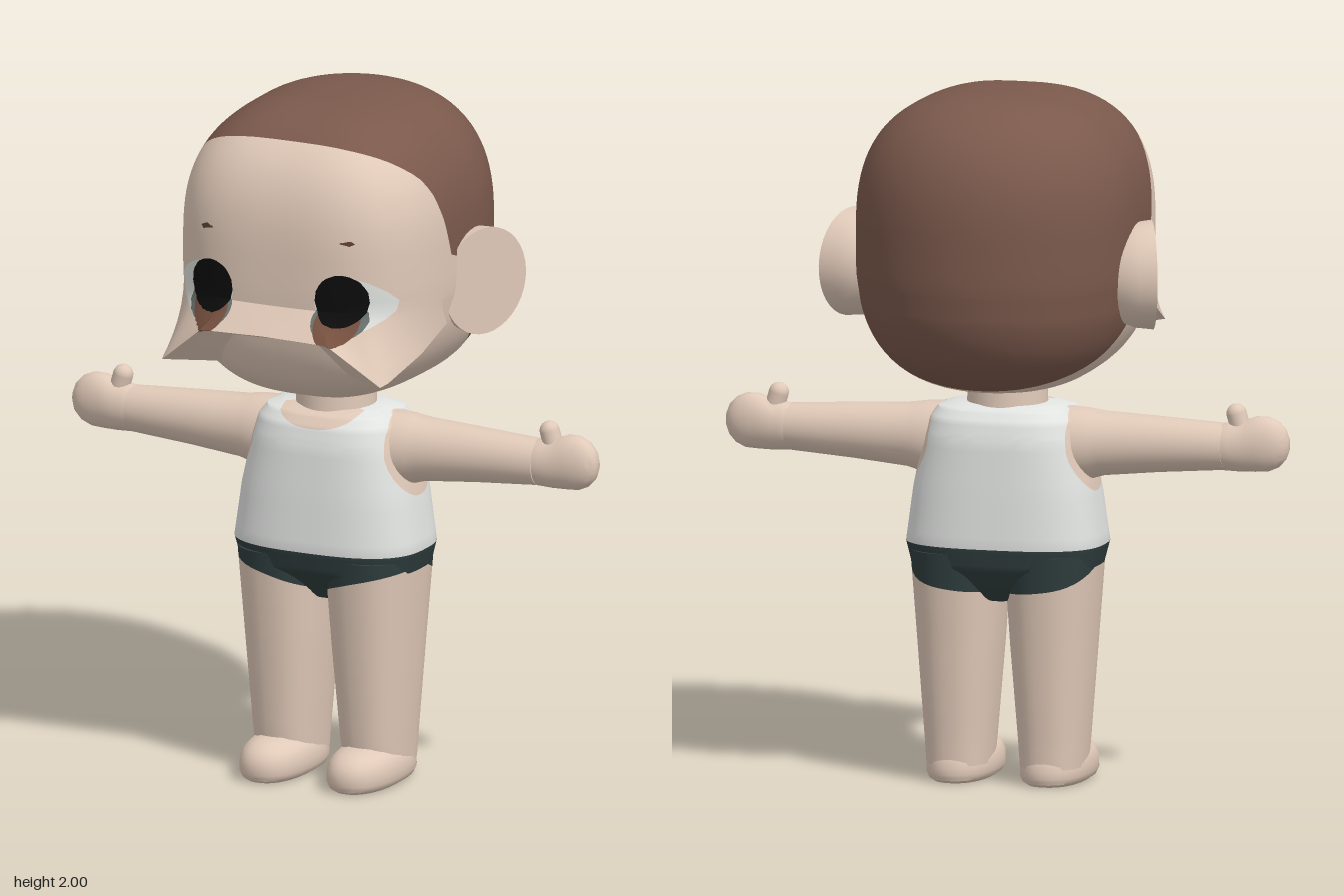
import * as THREE from 'three';
import { toCreasedNormals } from 'three/addons/utils/BufferGeometryUtils.js';

const mat = (name, color) => new THREE.MeshStandardMaterial({ name, color });
const lerp = THREE.MathUtils.lerp;

// Closed loft through rows of points, with fan caps at both ends
function loft(rows, crease = 0.6) {
  const n = rows[0].length, pos = rows.flat(2), idx = [];
  for (let i = 0; i < rows.length - 1; i++) {
    for (let j = 0; j < n; j++) {
      const a = i * n + j, b = i * n + (j + 1) % n;
      idx.push(a, b, b + n, a, b + n, a + n);
    }
  }
  for (const [r, up] of [[0, false], [rows.length - 1, true]]) {
    const c = pos.length / 3;
    for (let k = 0; k < 3; k++) pos.push(rows[r].reduce((s, p) => s + p[k], 0) / n);
    for (let j = 0; j < n; j++) {
      const a = r * n + j, b = r * n + (j + 1) % n;
      idx.push(c, up ? a : b, up ? b : a);
    }
  }
  const g = new THREE.BufferGeometry();
  g.setAttribute('position', new THREE.Float32BufferAttribute(pos, 3));
  g.setIndex(idx);
  return toCreasedNormals(g, crease);
}

// Rounded horizontal ring: half-width w, from zb to zf, squareness p
function ring(y, cx, w, zf, zb, p, n = 40) {
  return Array.from({ length: n }, (_, j) => {
    const a = j / n * Math.PI * 2, s = Math.sin(a), c = Math.cos(a);
    const r = (Math.abs(s) ** p + Math.abs(c) ** p) ** (-1 / p);
    return [cx + w * r * s, y, (zf + zb) / 2 + (zf - zb) / 2 * r * c];
  });
}

// Rings from a table [y, cx, w, zf, zb], subdivided
function rings(table, p, sub = 4, n = 40) {
  const out = [];
  table.forEach((t, i) => {
    if (!i) return out.push(ring(...t, p, n));
    for (let k = 1; k <= sub; k++) out.push(ring(...t.map((v, m) => lerp(table[i - 1][m], v, k / sub)), p, n));
  });
  return out;
}

// Cuts a surface along f(x, y, z) = 0 for each region, giving one mesh per colour
function paint(group, geometry, regions, restName, restMaterial) {
  const P = geometry.attributes.position, N = geometry.attributes.normal;
  let tris = [];
  for (let i = 0; i < P.count; i += 3) {
    tris.push([0, 1, 2].map(k => [P.getX(i + k), P.getY(i + k), P.getZ(i + k), N.getX(i + k), N.getY(i + k), N.getZ(i + k)]));
  }
  const clip = (tri, d, sign, out) => {
    const poly = [];
    for (let k = 0; k < 3; k++) {
      const m = (k + 1) % 3, da = d[k] * sign, db = d[m] * sign;
      if (da >= 0) poly.push(tri[k]);
      if (da * db < 0) poly.push(tri[k].map((v, q) => lerp(v, tri[m][q], da / (da - db))));
    }
    for (let k = 1; k < poly.length - 1; k++) out.push([poly[0], poly[k], poly[k + 1]]);
  };
  const emit = (list, name, material) => {
    if (!list.length) return;
    const v = list.flat(), g = new THREE.BufferGeometry();
    g.setAttribute('position', new THREE.Float32BufferAttribute(v.flatMap(p => p.slice(0, 3)), 3));
    g.setAttribute('normal', new THREE.Float32BufferAttribute(v.flatMap(p => p.slice(3)), 3));
    add(group, name, g, material);
  };
  for (const [name, material, f] of regions) {
    const inside = [], rest = [];
    for (const t of tris) {
      const d = t.map(p => f(p[0], p[1], p[2]) || 1e-9);
      if (d.every(v => v > 0)) inside.push(t);
      else if (d.every(v => v < 0)) rest.push(t);
      else { clip(t, d, 1, inside); clip(t, d, -1, rest); }
    }
    emit(inside, name, material);
    tris = rest;
  }
  emit(tris, restName, restMaterial);
}

function add(group, name, geometry, material) {
  const m = new THREE.Mesh(geometry, material);
  m.name = name;
  group.add(m);
  return m;
}

// Piecewise linear lookup in a table of [key, values...]
function lookup(table, key) {
  let i = 1;
  while (i < table.length - 1 && key > table[i][0]) i++;
  const a = table[i - 1], b = table[i], t = THREE.MathUtils.clamp((key - a[0]) / (b[0] - a[0]), 0, 1);
  return a.slice(1).map((v, k) => lerp(v, b[k + 1], t));
}

// Big rounded head with a jutting ridge below the eyes
function headGeometry() {
  const zc = -0.085, n = 128, rows = [];
  const base = (a, y) => {
    const t = y > 1.6 ? (y - 1.6) / 0.4 : Math.max(0, (1.55 - y) / 0.41);
    const k = (1 - t ** 2.6) ** (1 / 2.6), s = Math.sin(a), c = Math.cos(a), p = c > 0 ? 3.2 : 2;
    const r = (Math.abs(s) ** p + Math.abs(c) ** p) ** (-1 / p);
    const depth = c > 0 ? 0.505 * k ** (y > 1.6 ? 0.75 : 0.6) : 0.405 * k;
    return [0.405 * k * r * s, y, zc + depth * r * c];
  };
  const ridgeTable = [[0, 1.395, 0.482], [0.2, 1.39, 0.48], [0.35, 1.27, 0.43], [0.382, 1.33, 0.24], [0.395, 1.39, 0.1]]
    .map(p => [Math.atan2(p[0], p[2] - zc), ...p]);
  const ridge = a => {
    const b = Math.abs(a);
    if (b > ridgeTable[4][0]) return base(a, 1.39);
    const [x, y, z] = lookup(ridgeTable, b);
    return [Math.sign(a) * x, y, z];
  };
  const row = f => rows.push(Array.from({ length: n }, (_, j) => f((j > n / 2 ? j - n : j) / n * Math.PI * 2)));
  for (let i = 0; i < 16; i++) row(a => base(a, lerp(1.141, ridge(a)[1], 1 - Math.cos(i / 16 * Math.PI / 2))));
  for (let i = 0; i < 8; i++) row(a => { const q = base(a, 1.47); return ridge(a).map((v, k) => lerp(v, q[k], i / 8)); });
  for (let i = 0; i <= 28; i++) row(a => base(a, 1.47 + 0.5295 * Math.sin(i / 28 * Math.PI / 2)));
  return loft(rows, 0.5);
}

export function createModel() {
  const model = new THREE.Group();
  model.name = 'childFigure';
  const skin = mat('skin', 0xe0c9b8), hair = mat('hair brown', 0x7b594c), shirt = mat('shirt white', 0xe2e4e2);
  const briefs = mat('briefs dark', 0x2f3d3d), black = mat('pupil black', 0x0c0c0c), iris = mat('iris brown', 0x76503f);
  const white = mat('eye white', 0xdfe2df), shade = mat('eye grey', 0x69736f), brow = mat('brow brown', 0x5e3f36);

  // Head with painted hair, eyes and brows
  const head = new THREE.Group();
  head.name = 'head';
  model.add(head);
  const hairline = [[1.14, -0.3], [1.18, -0.26], [1.26, -0.16], [1.34, -0.08], [1.555, -0.02], [1.57, 0.08], [1.7, 0.12],
    [1.78, 0.15], [1.83, 0.18], [1.89, 0.25], [1.93, 0.31], [2, 0.33]];
  const oval = (cx, cy, rx, ry) => (x, y, z) =>
    Math.min(1 - ((Math.abs(x) - cx) / rx) ** 2 - ((y - cy) / ry) ** 2, (z - 0.15) * 10);
  paint(head, headGeometry(), [
    ['hair', hair, (x, y, z) => lookup(hairline, y)[0] - z],
    ['pupils', black, oval(0.205, 1.505, 0.076, 0.076)],
    ['irises', iris, oval(0.2, 1.442, 0.062, 0.062)],
    ['eyeShades', shade, oval(0.205, 1.45, 0.078, 0.055)],
    ['eyeWhites', white, (x, y, z) => Math.min(1 - Math.abs((Math.abs(x) - 0.235) / 0.11) ** 1.5 - Math.abs((y - 1.49) / 0.08) ** 1.5, (z - 0.15) * 10)],
    ['brows', brow, (x, y, z) => Math.min(0.008 - Math.abs(y - 1.678 + (Math.abs(x) - 0.21) * 0.25), 0.037 - Math.abs(Math.abs(x) - 0.21), z - 0.15)],
  ], 'face', skin);

  // Torso: vest, briefs and bare armholes
  const torso = new THREE.Group();
  torso.name = 'torso';
  model.add(torso);
  paint(torso, loft(rings([[0.53, 0, 0.04, 0.1, -0.1], [0.58, 0, 0.18, 0.15, -0.14], [0.63, 0, 0.272, 0.203, -0.173],
    [0.69, 0, 0.287, 0.217, -0.183], [0.85, 0, 0.265, 0.205, -0.175], [1.0, 0, 0.232, 0.19, -0.165],
    [1.05, 0, 0.217, 0.175, -0.15], [1.08, 0, 0.195, 0.15, -0.125], [1.093, 0, 0.15, 0.11, -0.09]], 2.8, 5, 64)), [
    ['briefs', briefs, (x, y) => 0.69 - y],
    ['neckline', skin, (x, y, z) => Math.min(1 - (x / 0.125) ** 2 - ((y - 1.1) / 0.055) ** 2, z * 10)],
    ['armholes', skin, (x, y, z) => Math.min(Math.abs(x) - 0.15, 0.12 - Math.hypot(y - 0.965, z - 0.01))],
  ], 'vest', shirt);
  add(model, 'neck', new THREE.CylinderGeometry(0.112, 0.118, 0.14, 32), skin).position.set(0, 1.11, 0.012);

  for (const s of [1, -1]) {
    const side = s > 0 ? 'left' : 'right';

    // Ear: tilted disc with a rounded back
    const ear = new THREE.LatheGeometry([[0.1, -0.14], [0.132, -0.1], [0.15, -0.05], [0.156, 0], [0, 0]]
      .map(p => new THREE.Vector2(...p)), 36);
    const earMesh = add(head, side + 'Ear', toCreasedNormals(ear, 0.6), skin);
    earMesh.quaternion.setFromUnitVectors(new THREE.Vector3(0, 1, 0), new THREE.Vector3(0.93 * s, 0, 0.37).normalize());
    earMesh.position.set(0.443 * s, 1.483, -0.046);

    // Arm and hand, lofted along y then laid sideways: [reach, height, half height, zf, zb]
    const limb = (name, table) => {
      const g = loft(rings(table.map(([x, y, h, zf, zb]) => [x, -s * y, h, zf, zb]), 2, 2, 32));
      add(model, side + name, g.rotateZ(-s * Math.PI / 2), skin);
    };
    limb('Arm', [[0.15, 0.975, 0.11, 0.115, -0.095], [0.23, 0.977, 0.105, 0.11, -0.09], [0.29, 0.982, 0.092, 0.1, -0.08],
      [0.45, 0.986, 0.08, 0.088, -0.067], [0.645, 0.988, 0.067, 0.075, -0.053]]);
    limb('Hand', [[0.62, 0.988, 0.06, 0.066, -0.045], [0.64, 0.988, 0.068, 0.07, -0.05], [0.69, 0.99, 0.072, 0.068, -0.046],
      [0.735, 0.999, 0.08, 0.065, -0.042], [0.77, 1.0, 0.079, 0.061, -0.037], [0.8, 1.0, 0.066, 0.054, -0.028],
      [0.82, 1.0, 0.045, 0.043, -0.014], [0.83, 1.0, 0.02, 0.028, 0.002]]);
    const thumb = add(model, side + 'Thumb', new THREE.CapsuleGeometry(0.029, 0.05, 6, 16), skin);
    thumb.position.set(0.683 * s, 1.06, 0.012);
    thumb.rotation.z = 0.28 * s;

    // Leg with the lower edge of the briefs
    const leg = new THREE.Group();
    leg.name = side + 'LegGroup';
    model.add(leg);
    paint(leg, loft(rings([[0.05, 0.138 * s, 0.092, 0.14, -0.115], [0.12, 0.138 * s, 0.097, 0.15, -0.12],
      [0.4, 0.137 * s, 0.118, 0.178, -0.145], [0.67, 0.138 * s, 0.136, 0.205, -0.172]], 2.4, 7)), [
      ['briefsLeg', briefs, (x, y, z) => {
        const outer = 0.64 - 0.06 * THREE.MathUtils.clamp(-z / 0.17, 0, 1);
        return y - 0.53 - (outer - 0.53) * Math.sqrt(Math.abs(x) / 0.27);
      }],
    ], side + 'Leg', skin);

    // Foot with a flat sole and rounded toe
    add(model, side + 'Foot', loft(rings([[0, 0.138 * s, 0.08, 0.235, -0.105], [0.008, 0.138 * s, 0.092, 0.248, -0.118],
      [0.025, 0.138 * s, 0.1, 0.255, -0.124], [0.06, 0.138 * s, 0.099, 0.253, -0.12], [0.085, 0.138 * s, 0.09, 0.238, -0.11],
      [0.103, 0.138 * s, 0.072, 0.212, -0.09], [0.114, 0.138 * s, 0.045, 0.175, -0.06]], 2.3, 2)), skin);
  }
  return model;
}
